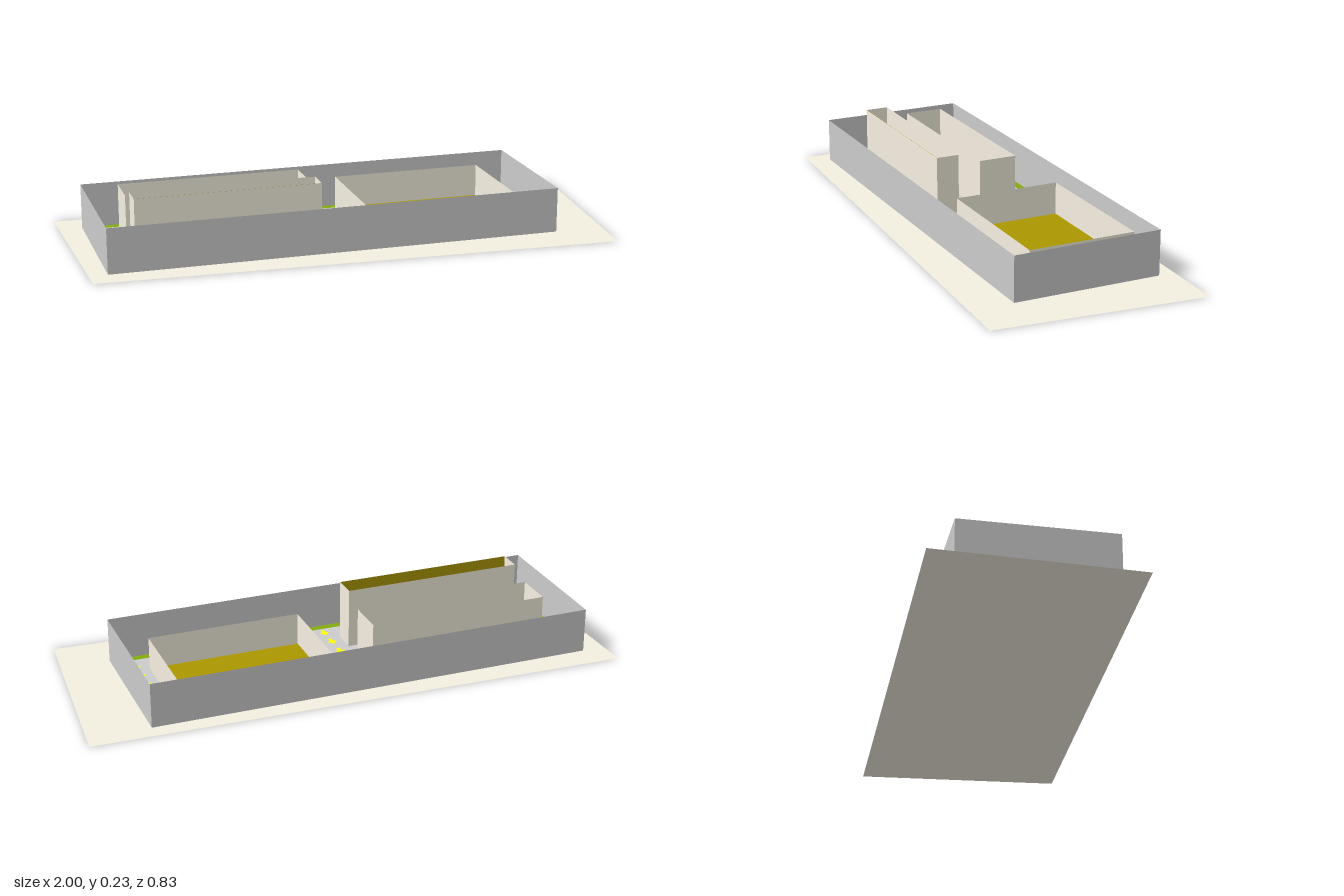
import * as THREE from 'three';

const mat = (color) => new THREE.MeshStandardMaterial({ color, side: THREE.DoubleSide, flatShading: true });

export function createModel() {
  const model = new THREE.Group();
  const grey = mat(0xcccccc), sand = mat(0xf5f0e0), olive = mat(0xab9800);
  const green = mat(0x84ac10), yellow = mat(0xffff00);

  const add = (parent, name, geometry, material) => {
    const mesh = new THREE.Mesh(geometry, material);
    mesh.name = name;
    parent.add(mesh);
    return mesh;
  };

  // Flat sheet facing up; the outline is given as [x, z] points
  const outline = (pts) => pts.map(([x, z]) => new THREE.Vector2(x, -z));
  const sheet = (pts, y, hole) => {
    const shape = new THREE.Shape(outline(pts));
    if (hole) shape.holes.push(new THREE.Path(outline(hole)));
    return new THREE.ShapeGeometry(shape).rotateX(-Math.PI / 2).translate(0, y, 0);
  };
  const rect = (x0, x1, z0, z1) => [[x0, z1], [x1, z1], [x1, z0], [x0, z0]];

  // Four paper-thin walls round a rectangle, open above
  const addWalls = (parent, name, pts, height, material) => {
    const walls = new THREE.Group();
    walls.name = name;
    pts.forEach(([x, z], i) => {
      const [x2, z2] = pts[(i + 1) % 4];
      const geo = new THREE.PlaneGeometry(Math.hypot(x2 - x, z2 - z), height);
      const wall = add(walls, 'wall', geo, material);
      wall.position.set((x + x2) / 2, height / 2, (z + z2) / 2);
      wall.rotation.y = -Math.atan2(z2 - z, x2 - x);
    });
    parent.add(walls);
  };

  // Plot of land, planted border and paved yard
  add(model, 'plot', sheet([[-0.975, 0.322], [0.935, 0.413], [1, -0.37], [-1, -0.42]], 0), sand);
  const boundary = rect(-0.91, 0.765, -0.315, 0.242);
  const yard = rect(-0.88, 0.735, -0.285, 0.212);
  add(model, 'plantedBorder', sheet(boundary, 0.001, yard), green);
  add(model, 'yardPaving', sheet(yard, 0.001), grey);
  addWalls(model, 'boundaryWall', boundary, 0.168, grey);

  // Three roofless buildings: x0, x1, z0, z1, height
  const buildings = {
    rearHall: [-0.79, -0.105, -0.2, -0.052, 0.191],
    frontHall: [-0.79, -0.105, 0.036, 0.124, 0.228],
    largeHall: [0.067, 0.645, -0.283, 0.124, 0.125],
  };
  for (const [name, [x0, x1, z0, z1, height]] of Object.entries(buildings)) {
    const building = new THREE.Group();
    building.name = name;
    const base = rect(x0, x1, z0, z1);
    add(building, 'floor', sheet(base, 0.002), olive);
    addWalls(building, 'walls', base, height, sand);
    model.add(building);
  }

  // Coloured lining inside the front hall's front wall
  const [fx0, fx1, , fz1, fh] = buildings.frontHall;
  add(model.getObjectByName('frontHall'), 'wallLining', new THREE.PlaneGeometry(fx1 - fx0, fh), olive)
    .position.set((fx0 + fx1) / 2, fh / 2, fz1 - 0.001);

  // Lane arrows, drawn pointing to the back
  const arrow = sheet([[-0.007, 0.022], [0.007, 0.022], [0.007, 0], [0.02, 0],
    [0, -0.024], [-0.02, 0], [-0.007, 0]], 0.003);
  const arrows = new THREE.Group();
  arrows.name = 'laneArrows';
  model.add(arrows);
  const addArrow = (x, z, turn) => {
    const mesh = add(arrows, 'arrow', arrow, yellow);
    mesh.position.set(x, 0, z);
    mesh.rotation.y = turn;
  };
  const columns = [
    [-0.835, [-0.255, -0.165, -0.08, 0, 0.065, 0.15]],
    [-0.06, [-0.23, -0.145, -0.07, 0.01, 0.095, 0.175]],
    [0.025, [-0.225, -0.145, -0.07, 0.01, 0.095, 0.175]],
    [0.69, [-0.245, -0.165, -0.08, 0.01, 0.08, 0.155]],
  ];
  for (const [x, zs] of columns) zs.forEach((z) => addArrow(x, z, 0));
  // Rows: first x, z
  for (const [x, z] of [[-0.69, -0.012], [-0.65, 0.173], [0.14, 0.165]]) {
    for (let i = 0; i < 7; i++) addArrow(x + i * 0.0735, z, -Math.PI / 2);
  }
  return model;
}
